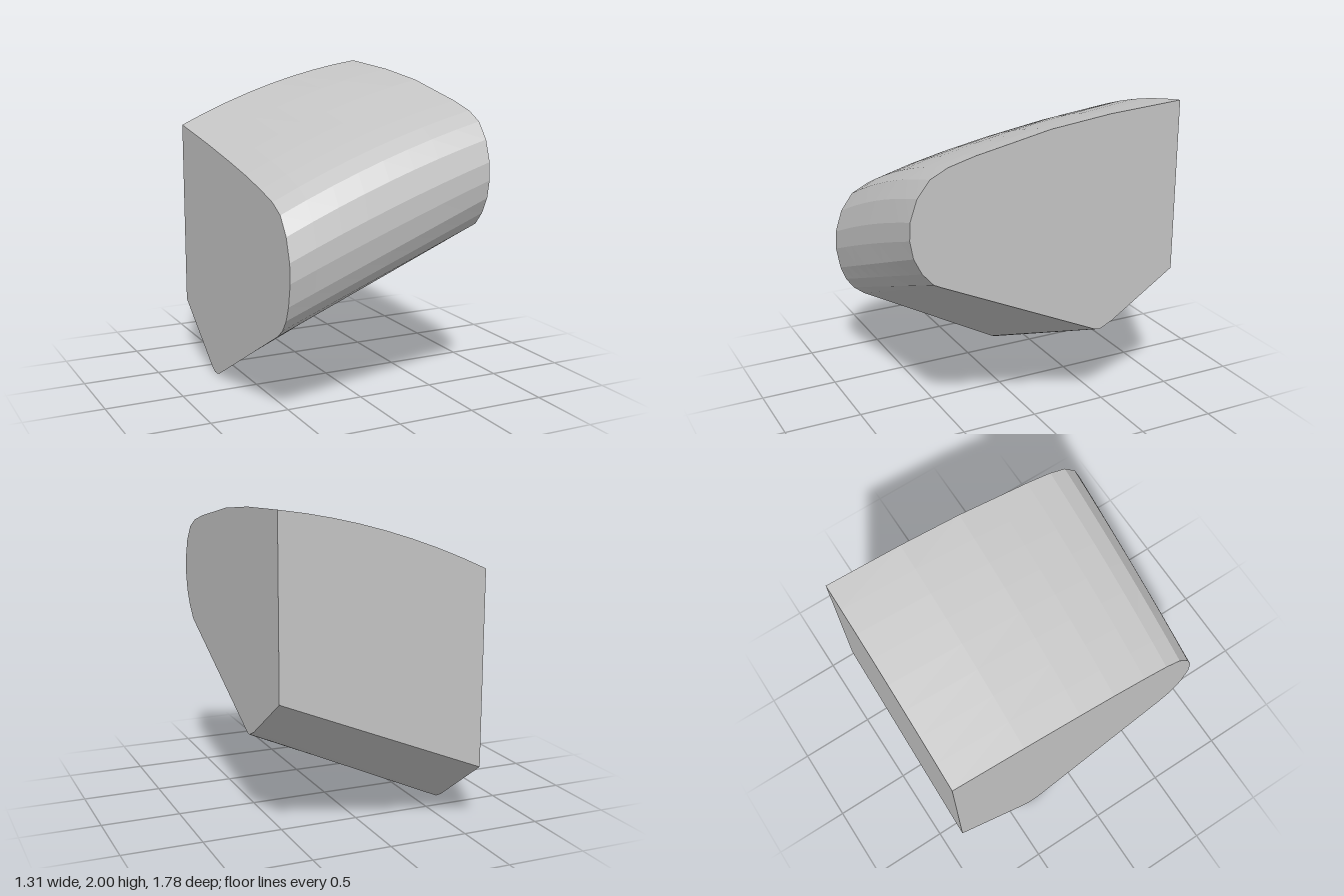
import * as THREE from 'three';

const HALF = 0.655;
const COLUMNS = 8;

// Profile stations, counter-clockwise seen from +x:
// [z, y on the right end, z, y on the left end, upward bow at mid-width]
const STATIONS = [
  [-0.89, 1.60, -0.89, 2.00, 0.055],
  [-0.40, 1.53, -0.40, 1.97, 0.055],
  [0.00, 1.465, 0.00, 1.925, 0.05],
  [0.25, 1.42, 0.25, 1.875, 0.05],
  [0.48, 1.37, 0.48, 1.83, 0.045],
  [0.65, 1.325, 0.65, 1.785, 0.04],
  [0.76, 1.27, 0.76, 1.73, 0.035],
  [0.84, 1.16, 0.84, 1.63, 0.03],
  [0.885, 1.02, 0.885, 1.50, 0.02],
  [0.89, 0.90, 0.89, 1.39, 0.01],
  [0.865, 0.76, 0.87, 1.28, 0],
  [0.83, 0.67, 0.82, 1.18, 0],
  [0.78, 0.60, 0.75, 1.10, 0],
  [0.71, 0.545, 0.70, 1.075, 0],
  [-0.27, 0.01, -0.34, 0.595, 0],
  [-0.31, 0.00, -0.37, 0.59, 0],
  [-0.35, 0.00, -0.39, 0.597, 0],
  [-0.41, 0.03, -0.46, 0.63, 0],
  [-0.89, 0.37, -0.89, 0.91, 0],
];

// Point on the skewed surface, t = 0 at the right end (-x), 1 at the left end (+x)
function pointAt(i, t) {
  const [z0, y0, z1, y1, bow] = STATIONS[i % STATIONS.length];
  return [
    THREE.MathUtils.lerp(-HALF, HALF, t),
    THREE.MathUtils.lerp(y0, y1, t) + bow * 4 * t * (1 - t),
    THREE.MathUtils.lerp(z0, z1, t),
  ];
}

function makeMesh(name, triangles, material) {
  const geometry = new THREE.BufferGeometry();
  geometry.setAttribute('position', new THREE.Float32BufferAttribute(triangles.flat(), 3));
  geometry.computeVertexNormals();
  const mesh = new THREE.Mesh(geometry, material);
  mesh.name = name;
  return mesh;
}

// Strip of faces running across the width between the given stations
function skin(from, to) {
  const out = [];
  for (let i = from; i < to; i++) {
    for (let j = 0; j < COLUMNS; j++) {
      const t = j / COLUMNS, u = (j + 1) / COLUMNS;
      const a = pointAt(i, t), b = pointAt(i + 1, t);
      const c = pointAt(i + 1, u), d = pointAt(i, u);
      out.push(a, b, c, a, c, d);
    }
  }
  return out;
}

// Flat end face, fanned from a point inside the profile
function endFace(t) {
  const out = [];
  const centre = [t ? HALF : -HALF, t ? 1.35 : 0.85, 0];
  for (let i = 0; i < STATIONS.length; i++) {
    const a = pointAt(i, t), b = pointAt(i + 1, t);
    out.push(centre, ...(t ? [a, b] : [b, a]));
  }
  return out;
}

export function createModel() {
  const group = new THREE.Group();
  group.name = 'skewedWedge';
  const grey = new THREE.MeshStandardMaterial({ color: 0xc4c4c4, flatShading: true });
  grey.name = 'plain grey';

  const last = STATIONS.length - 1;
  group.add(
    makeMesh('roundedTopAndFront', skin(0, 13), grey),
    makeMesh('underside', skin(13, last), grey),
    makeMesh('backFace', skin(last, last + 1), grey),
    makeMesh('rightEnd', endFace(0), grey),
    makeMesh('leftEnd', endFace(1), grey),
  );
  return group;
}
